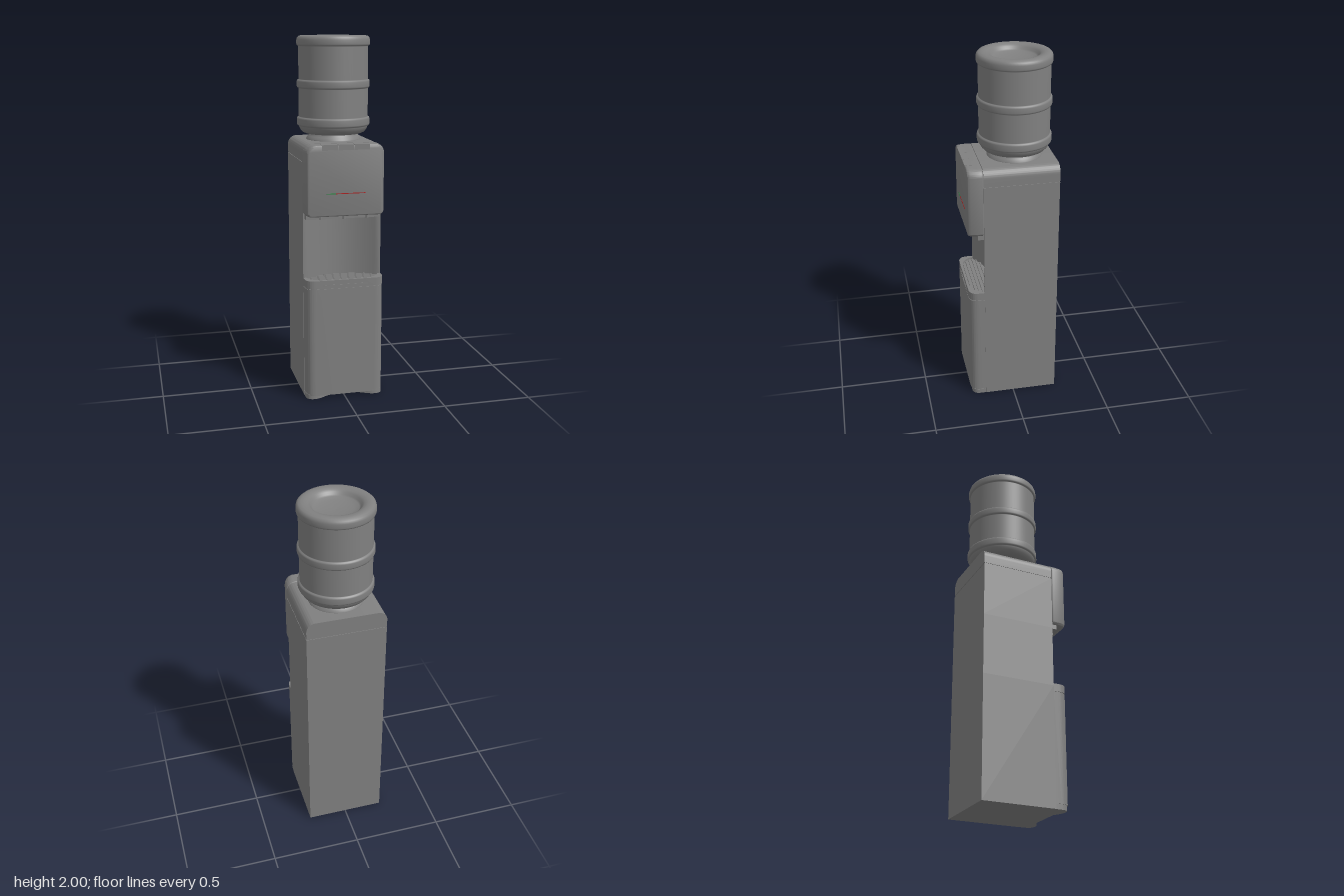
import * as THREE from 'three';
import { toCreasedNormals } from 'three/addons/utils/BufferGeometryUtils.js';

const BACK = -0.252, FACE = 0.163, FRONT = 0.249, W = 0.2205;

export function createModel() {
  const root = new THREE.Group();
  root.name = 'waterDispenser';
  const grey = new THREE.MeshStandardMaterial({ color: 0x808080 });

  function add(name, geometry, x = 0, y = 0, z = 0, material = grey) {
    const mesh = new THREE.Mesh(geometry, material);
    mesh.name = name;
    mesh.position.set(x, y, z);
    root.add(mesh);
  }
  const box = (name, w, h, d, x, y, z, m) => add(name, new THREE.BoxGeometry(w, h, d), x, y, z, m);

  // Extrudes a floor outline (drawn with y = -z) from y0 up to y1
  function plan(name, shape, y0, y1) {
    const g = new THREE.ExtrudeGeometry(shape, { depth: y1 - y0, bevelEnabled: false, curveSegments: 24 });
    g.rotateX(-Math.PI / 2);
    add(name, toCreasedNormals(g, 0.6), 0, y0, 0);
  }
  // Extrudes a front outline from z0 to z1
  function elevation(name, shape, z0, z1) {
    const g = new THREE.ExtrudeGeometry(shape, { depth: z1 - z0, bevelEnabled: false, curveSegments: 12 });
    add(name, toCreasedNormals(g, 0.6), 0, 0, z0);
  }
  // Upright panel outline with separate top and bottom corner radii
  function panel(w, y0, y1, top, bottom) {
    const s = new THREE.Shape();
    s.moveTo(-w + bottom, y0);
    s.lineTo(w - bottom, y0);
    if (bottom) s.absarc(w - bottom, y0 + bottom, bottom, -Math.PI / 2, 0);
    s.lineTo(w, y1 - top);
    if (top) s.absarc(w - top, y1 - top, top, 0, Math.PI / 2);
    s.lineTo(-w + top, y1);
    if (top) s.absarc(-w + top, y1 - top, top, Math.PI / 2, Math.PI);
    s.lineTo(-w, y0 + bottom);
    if (bottom) s.absarc(-w + bottom, y0 + bottom, bottom, Math.PI, Math.PI * 1.5);
    return s;
  }
  // Floor outline of the front section, with rounded front corners
  function frontPlan(w, z, r) {
    const s = new THREE.Shape();
    s.moveTo(-w, -FACE);
    s.lineTo(-w, -z + r);
    s.quadraticCurveTo(-w, -z, -w + r, -z);
    return s;
  }
  function closeFront(s, w, z, r) {
    s.lineTo(w - r, -z);
    s.quadraticCurveTo(w, -z, w, -z + r);
    s.lineTo(w, -FACE);
    return s;
  }

  // Cabinet: lower box, concave middle, upper box and top cover
  const depth = FACE - BACK;
  box('lowerCabinet', W * 2, 0.675, depth, 0, 0.3375, (FACE + BACK) / 2);
  const recess = new THREE.Shape();
  recess.moveTo(-W, -BACK);
  recess.lineTo(W, -BACK);
  recess.lineTo(W, -FACE);
  recess.lineTo(0.205, -FACE);
  recess.quadraticCurveTo(0, -FACE + 0.14, -0.205, -FACE);
  recess.lineTo(-W, -FACE);
  plan('dispensingRecess', recess, 0.675, 1.02);
  elevation('upperCabinet', panel(W, 1.02, 1.332, 0, 0), BACK, FACE);
  box('coverSeam', W * 2 - 0.006, 0.01, depth - 0.006, 0, 1.3345, (FACE + BACK) / 2);
  elevation('topCover', panel(W, 1.337, 1.43, 0.05, 0), BACK, FACE);

  // Dispensing head, its sides drawn in towards the front
  const head = new THREE.ExtrudeGeometry(panel(0.2145, 1.051, 1.422, 0.042, 0.016), {
    depth: FRONT - FACE - 0.016, steps: 8, curveSegments: 12,
    bevelThickness: 0.008, bevelSize: 0.008, bevelSegments: 4 });
  head.translate(0, 0, FACE + 0.008);
  const p = head.attributes.position;
  for (let i = 0; i < p.count; i++) {
    const t = Math.max(0, (p.getZ(i) - 0.185) / (FRONT - 0.185));
    p.setX(i, p.getX(i) * (1 - 0.06 * t * t));
  }
  add('dispensingHead', toCreasedNormals(head, 0.6));
  box('headUnderside', 0.42, 0.028, 0.034, 0, 1.034, FACE + 0.016);

  // Buttons and the faucets below
  for (const i of [-1, 0, 1]) {
    box('button', 0.086, 0.03, 0.039, i * 0.088, 1.417, 0.2298);
    add('faucet', new THREE.CylinderGeometry(0.008, 0.008, 0.035, 16), i * 0.13, 1.038, 0.207);
  }

  // Indicator strip
  const green = new THREE.MeshStandardMaterial({ color: 0x1f8a3a });
  const red = new THREE.MeshStandardMaterial({ color: 0xa81c1c });
  box('greenIndicator', 0.05, 0.004, 0.004, -0.082, 1.168, FRONT, green);
  box('redIndicator', 0.162, 0.004, 0.004, 0.026, 1.168, FRONT, red);

  // Door, seam, tray rim and tray
  plan('door', closeFront(frontPlan(0.2185, FRONT, 0.055), 0.2185, FRONT, 0.055), 0.03, 0.64);
  plan('doorSeam', closeFront(frontPlan(0.2155, 0.246, 0.055), 0.2155, 0.246, 0.055), 0.02, 0.675);
  const rim = closeFront(frontPlan(0.2195, FRONT, 0.055), 0.2195, FRONT, 0.055);
  rim.lineTo(0.203, -FACE);
  rim.quadraticCurveTo(0.19, -0.235, 0.1, -0.236);
  rim.lineTo(-0.1, -0.236);
  rim.quadraticCurveTo(-0.19, -0.235, -0.203, -FACE);
  plan('trayRim', rim, 0.644, 0.688);
  for (let i = 0; i < 7; i++) {
    const z = 0.108 + i * 0.02;
    const t = z < FACE ? Math.sqrt((z - 0.093) / 0.07) : 1 - 0.35 * ((z - FACE) / 0.073) ** 2;
    box('traySlat', 0.4 * t, 0.008, 0.008, 0, 0.679, z);
  }
  const grip = new THREE.CylinderGeometry(0.13, 0.13, 0.006, 32);
  grip.scale(1, 1, 0.03);
  add('doorGrip', grip, 0, 0.66, FRONT - 0.001);

  // Base with a concave toe space
  const base = frontPlan(0.2185, 0.24, 0.045);
  base.bezierCurveTo(-0.12, -0.238, -0.1, -0.185, 0, -0.185);
  base.bezierCurveTo(0.1, -0.185, 0.12, -0.238, 0.1735, -0.24);
  plan('toeBase', closeFront(base, 0.2185, 0.24, 0.045), 0, 0.026);

  // Bottle: each point is [radius, height]; close pairs keep the wall straight beside each band
  const lathe = (pts) => new THREE.LatheGeometry(pts.map(([r, y]) => new THREE.Vector2(r, y)), 72);
  const profile = [[0.13, 1.462], [0.155, 1.464], [0.172, 1.471], [0.184, 1.484], [0.19, 1.496]];
  for (const [a, b] of [[1.507, 1.555], [1.715, 1.76]]) {
    profile.push([0.193, a - 0.003], [0.193, a], [0.2, a + 0.002], [0.203, a + 0.01],
      [0.203, b - 0.01], [0.2, b - 0.002], [0.193, b], [0.193, b + 0.003]);
  }
  profile.push([0.193, 1.94], [0.193, 1.943], [0.2, 1.945], [0.203, 1.953], [0.203, 1.975], [0.199, 1.988],
    [0.19, 1.996], [0.175, 2], [0.158, 1.999], [0.142, 1.994], [0.131, 1.985], [0.124, 1.974],
    [0.116, 1.967], [0.09, 1.96], [0.05, 1.955], [0, 1.953]);
  add('bottle', lathe(profile), 0, 0, -0.046);
  add('bottleCollar', lathe([[0.152, 1.428], [0.152, 1.434], [0.143, 1.448], [0.134, 1.456], [0.132, 1.466]]), 0, 0, -0.046);

  return root;
}
